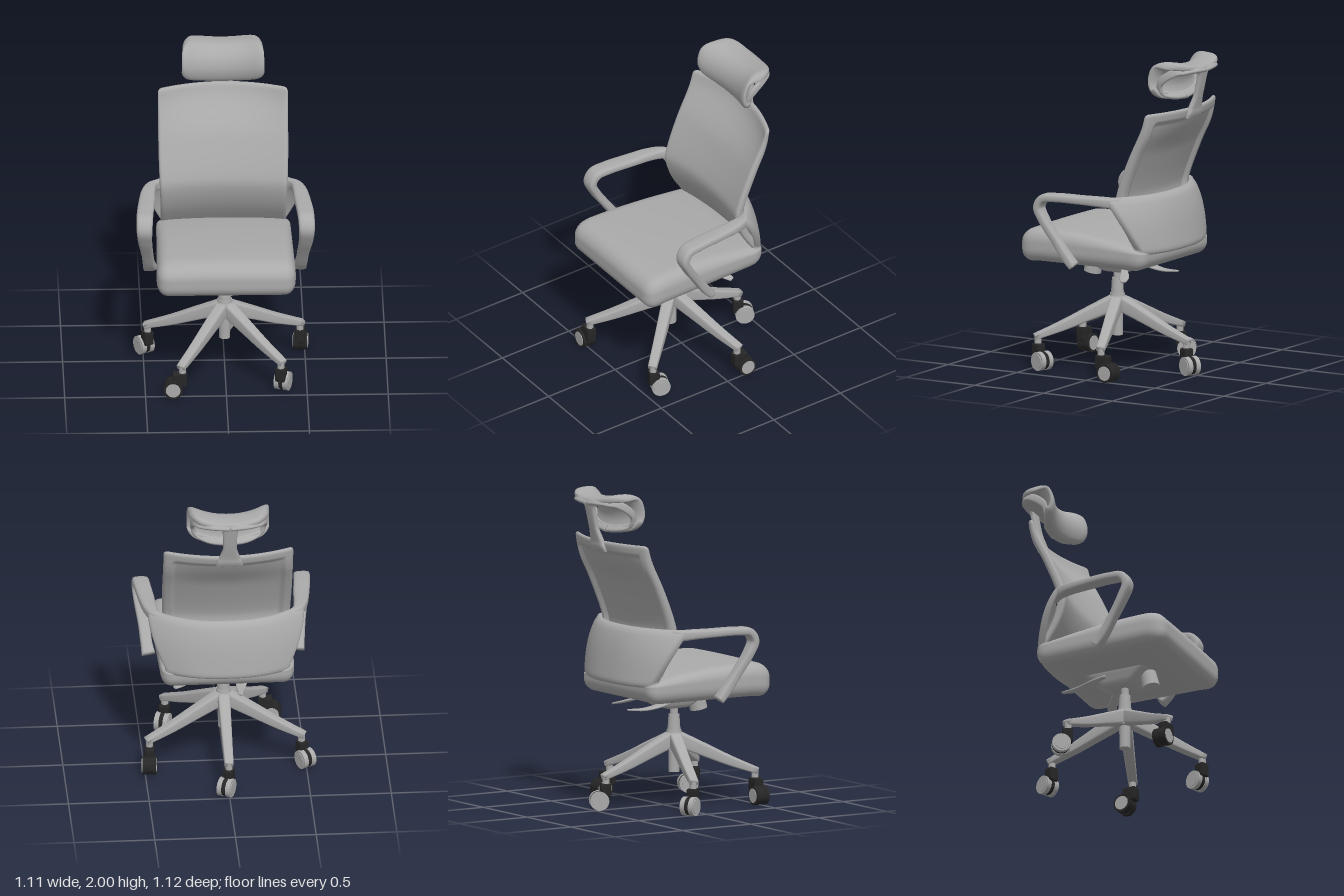
import * as THREE from 'three';
import { mergeVertices } from 'three/addons/utils/BufferGeometryUtils.js';

const grey = new THREE.MeshStandardMaterial({ color: 0xaaaaaa });
grey.name = 'grey';
const black = new THREE.MeshStandardMaterial({ color: 0x262626 });
black.name = 'black';

const V = (x, y, z) => new THREE.Vector3(x, y, z);
const clamp = THREE.MathUtils.clamp;
const smooth = THREE.MathUtils.smoothstep;

function part(name, geometry, parent, material = grey) {
  const mesh = new THREE.Mesh(geometry, material);
  mesh.name = name;
  parent.add(mesh);
  return mesh;
}

// Rounded block with dense edges, bent by an optional rule
function block(size, radius, warp, seg = 28) {
  let g = new THREE.BoxGeometry(2, 2, 2, seg, seg, seg);
  g.deleteAttribute('uv');
  g.deleteAttribute('normal');
  g = mergeVertices(g);
  const pos = g.attributes.position;
  const axes = ['x', 'y', 'z'];
  for (let i = 0; i < pos.count; i++) {
    const p = V(0, 0, 0).fromBufferAttribute(pos, i);
    const core = V(0, 0, 0), off = V(0, 0, 0);
    axes.forEach((k, n) => {
      const half = size[n] / 2, r = radius[n];
      const v = half * Math.sin(p[k] * Math.PI / 2);
      core[k] = clamp(v, -half + r, half - r);
      off[k] = (v - core[k]) / r;
    });
    if (off.lengthSq() > 0) off.normalize();
    axes.forEach((k, n) => { p[k] = core[k] + off[k] * radius[n]; });
    if (warp) warp(p);
    pos.setXYZ(i, p.x, p.y, p.z);
  }
  g.computeVertexNormals();
  return g;
}

// Rounded section swept along stations [x, y, z, half width, half thickness]
function sweep(stations, side, steps = 40, power = 0.6) {
  const path = new THREE.CatmullRomCurve3(stations.map(s => V(s[0], s[1], s[2])));
  const sizes = new THREE.CatmullRomCurve3(stations.map(s => V(s[3], s[4], 0)));
  const n = 20, verts = [], index = [];
  for (let i = 0; i <= steps; i++) {
    const t = i / steps, c = path.getPoint(t), w = sizes.getPoint(t), T = path.getTangent(t);
    const S = side.clone().addScaledVector(T, -side.dot(T)).normalize();
    const N = T.clone().cross(S);
    for (let j = 0; j < n; j++) {
      const a = j / n * Math.PI * 2, cs = Math.cos(a), sn = Math.sin(a);
      const p = c.clone()
        .addScaledVector(S, w.x * Math.sign(cs) * Math.abs(cs) ** power)
        .addScaledVector(N, w.y * Math.sign(sn) * Math.abs(sn) ** power);
      verts.push(p.x, p.y, p.z);
      const k = (j + 1) % n, b = i * n;
      if (i < steps) index.push(b + j, b + k, b + n + j, b + k, b + n + k, b + n + j);
    }
  }
  const last = steps * n;
  for (let j = 1; j < n - 1; j++) index.push(0, j + 1, j, last, last + j, last + j + 1);
  const g = new THREE.BufferGeometry();
  g.setAttribute('position', new THREE.Float32BufferAttribute(verts, 3));
  g.setIndex(index);
  g.computeVertexNormals();
  return g;
}

function cylinder(name, parent, rTop, rBottom, h, x, y, z, material) {
  const mesh = part(name, new THREE.CylinderGeometry(rTop, rBottom, h, 28), parent, material);
  mesh.position.set(x, y, z);
  return mesh;
}

function makeCaster(x, z, heading, dark) {
  const caster = new THREE.Group();
  caster.name = 'caster';
  caster.position.set(x, 0, z);
  caster.rotation.y = heading;
  const tyre = dark ? black : grey, trail = dark ? -0.055 : -0.043;
  cylinder('casterStem', caster, 0.022, 0.022, 0.06, 0, 0.18, 0);
  part('casterNeck', block([0.062, 0.09, dark ? 0.09 : 0.066], [0.01, 0.01, 0.01], null, 8), caster, black).position.set(0, 0.12, dark ? -0.015 : -0.004);
  cylinder('casterHood', caster, 0.056, 0.056, 0.03, 0, 0.06, trail, black).rotation.z = Math.PI / 2;
  for (const s of [-1, 1]) {
    cylinder('wheel', caster, 0.059, 0.059, 0.03, s * 0.028, 0.059, trail, tyre).rotation.z = Math.PI / 2;
    cylinder('wheelCap', caster, 0.045, 0.045, 0.01, s * 0.042, 0.059, trail).rotation.z = Math.PI / 2;
  }
  return caster;
}

export function createModel() {
  const chair = new THREE.Group();
  chair.name = 'officeChair';
  const X = V(1, 0, 0);

  // Seat cushion, sloping down to the rear
  part('seat', block([0.86, 0.21, 0.89], [0.07, 0.085, 0.09], p => {
    const back = clamp((0.32 - p.z) / 0.76, 0, 1);
    if (p.y > 0) p.y *= 1 - 0.75 * back ** 2;
    p.x *= 1 - 0.04 * back;
    p.y += 0.795 + 0.006 * (1 - (p.x / 0.43) ** 2) * (p.y > 0 ? 1 : 0) - 0.014 * smooth(p.z, 0.3, 0.45);
    p.z += 0.095;
  }), chair);

  // Backrest: curved panel thinning to the top, recessed behind inside its rim
  const backLine = new THREE.SplineCurve([[0.78, -0.3], [0.95, -0.19], [1.1, -0.14], [1.2, -0.155], [1.4, -0.235], [1.6, -0.33], [1.71, -0.36]]
    .map(a => new THREE.Vector2(...a))).getPoints(120);
  const backZ = y => {
    const i = backLine.findIndex(q => q.x >= y), a = backLine[i - 1], b = backLine[i];
    return a.y + (b.y - a.y) * (y - a.x) / (b.x - a.x);
  };
  part('backrest', block([0.8, 0.89, 0.06], [0.025, 0.025, 0.026], p => {
    const inside = Math.abs(p.x) < 0.335 && p.y < 0.375;
    if (inside && p.z < 0) p.z += 0.024;
    p.y += 1.245;
    const bow = 0.045 + 0.05 * smooth(p.y, 1.4, 1.69);
    p.z = backZ(p.y) + (p.z - 0.03) * (1 - 0.4 * smooth(p.y, 1.5, 1.68)) - bow * (1 - (p.x / 0.4) ** 2);
    p.x *= 0.97 + 0.035 * smooth(p.y, 0.85, 1.4);
  }, 48), chair);

  // Lumbar shell wrapping the lower back and meeting the arms
  part('lumbarShell', block([2, 0.36, 0.05], [0.03, 0.04, 0.022], p => {
    const u = p.x, v = clamp((p.y + 0.18) / 0.36, 0, 1);
    p.x = u * (0.37 + 0.115 * Math.sin(v * Math.PI / 2));
    p.y += 0.975;
    p.z += -0.405 + 0.045 * v + 0.035 * v ** 4 + (0.09 + 0.11 * v ** 1.2) * Math.abs(u) ** 2.4;
  }, 36), chair);

  // Looped armrests
  for (const s of [-1, 1]) {
    part(s > 0 ? 'leftArmrest' : 'rightArmrest', sweep([
      [0.385, 1.118, -0.212, 0.016, 0.032], [0.442, 1.12, -0.16, 0.032, 0.034], [0.466, 1.125, -0.08, 0.043, 0.031],
      [0.48, 1.127, 0.05, 0.05, 0.027], [0.495, 1.127, 0.22, 0.052, 0.026], [0.5, 1.115, 0.305, 0.051, 0.027],
      [0.502, 1.06, 0.338, 0.049, 0.027], [0.498, 0.98, 0.305, 0.044, 0.027], [0.482, 0.85, 0.22, 0.037, 0.027],
      [0.472, 0.755, 0.155, 0.037, 0.03], [0.462, 0.7, 0.11, 0.043, 0.026]].map(a => [s * a[0], ...a.slice(1)]), X, 70), chair);
  }

  // Headrest pad, curling back at the top and bottom, with soft corners
  const padLine = new THREE.SplineCurve([[-0.41, 1.763], [-0.38, 1.766], [-0.364, 1.83], [-0.385, 1.9], [-0.445, 1.944], [-0.56, 1.938]]
    .map(a => new THREE.Vector2(...a)));
  part('headrest', block([0.51, 1, 0.05], [0.06, 0.08, 0.024], p => {
    const t = clamp(p.y + 0.5, 0, 1), c = padLine.getPoint(t), d = padLine.getTangent(t);
    const e = (p.x / 0.255) ** 2, top = smooth(t, 0.5, 1);
    p.y = c.y - d.x * p.z + e * 0.042 + e ** 6 * 0.025 * (1 - smooth(t, 0, 0.4) - smooth(t, 0.55, 0.9));
    p.z = c.x + d.y * p.z + e * 0.062 * (1 - 0.6 * top) + e ** 3 * 0.08 * top;
    p.x *= 1 - 0.03 * top;
  }, 36), chair);

  // Rear loop behind the pad, and the stem carrying it
  for (const s of [-1, 1]) {
    part('headrestFrame', sweep([[0, 1.938, -0.55, 0.026, 0.014], [0.12 * s, 1.945, -0.54, 0.026, 0.014], [0.205 * s, 1.94, -0.48, 0.026, 0.014],
      [0.225 * s, 1.87, -0.375, 0.024, 0.014], [0.2 * s, 1.8, -0.355, 0.024, 0.014], [0.12 * s, 1.768, -0.392, 0.024, 0.014],
      [0, 1.757, -0.41, 0.024, 0.014]], V(0, 0.7, 0.7)), chair);
  }
  part('headrestStem', sweep([[0, 1.955, -0.548, 0.085, 0.014], [0, 1.9, -0.536, 0.048, 0.016], [0, 1.78, -0.51, 0.042, 0.017],
    [0, 1.69, -0.484, 0.065, 0.02], [0, 1.655, -0.478, 0.08, 0.02], [0, 1.625, -0.47, 0.085, 0.014]], X), chair);

  // Tilt mechanism with tension knob and lever paddles
  part('tiltMechanism', block([0.26, 0.11, 0.48], [0.03, 0.03, 0.05], p => {
    const low = clamp(0.5 - p.y / 0.11, 0, 1);
    p.z *= 1 - 0.65 * low;
    p.x *= 1 - 0.35 * low;
    p.y += 0.66;
    p.z += 0.06;
  }, 14), chair);
  cylinder('tensionKnob', chair, 0.05, 0.055, 0.1, 0, 0.63, 0.25).rotation.x = -0.22;
  part('heightLever', sweep([[0.1, 0.655, -0.02, 0.012, 0.008], [0.18, 0.645, -0.08, 0.02, 0.008], [0.26, 0.62, -0.13, 0.03, 0.008],
    [0.32, 0.605, -0.16, 0.018, 0.006]], V(0, 0, 1), 16), chair);
  part('tiltLever', sweep([[-0.1, 0.66, 0, 0.03, 0.008], [-0.1, 0.635, -0.1, 0.04, 0.008], [-0.09, 0.62, -0.2, 0.03, 0.008],
    [-0.08, 0.625, -0.31, 0.012, 0.005]], X, 16), chair);

  // Gas column
  cylinder('columnRod', chair, 0.024, 0.024, 0.14, 0, 0.6, 0.08);
  cylinder('columnCollar', chair, 0.034, 0.042, 0.12, 0, 0.5, 0.08);
  cylinder('columnSleeve', chair, 0.036, 0.034, 0.25, 0, 0.325, 0.08);
  cylinder('baseHub', chair, 0.045, 0.06, 0.12, 0, 0.405, 0.08);

  // Five straight tapered legs with casters: [angle in degrees, heading, dark wheels]
  const legs = [[-33, 1.5, true], [42.5, -0.35, false], [110, -0.08, true], [180, -0.45, false], [-109, 0.52, false]];
  for (const [degrees, heading, dark] of legs) {
    const a = degrees * Math.PI / 180, dx = Math.sin(a), dz = Math.cos(a);
    const at = (r, y, w, h) => [r * dx, y, 0.08 + r * dz, w, h];
    part('baseLeg', sweep([at(0.01, 0.41, 0.04, 0.05), at(0.18, 0.339, 0.036, 0.04), at(0.35, 0.267, 0.032, 0.03),
      at(0.52, 0.205, 0.028, 0.019)], V(dz, 0, -dx), 16, 0.4), chair);
    chair.add(makeCaster(0.5 * dx, 0.08 + 0.5 * dz, heading, dark));
  }
  return chair;
}
